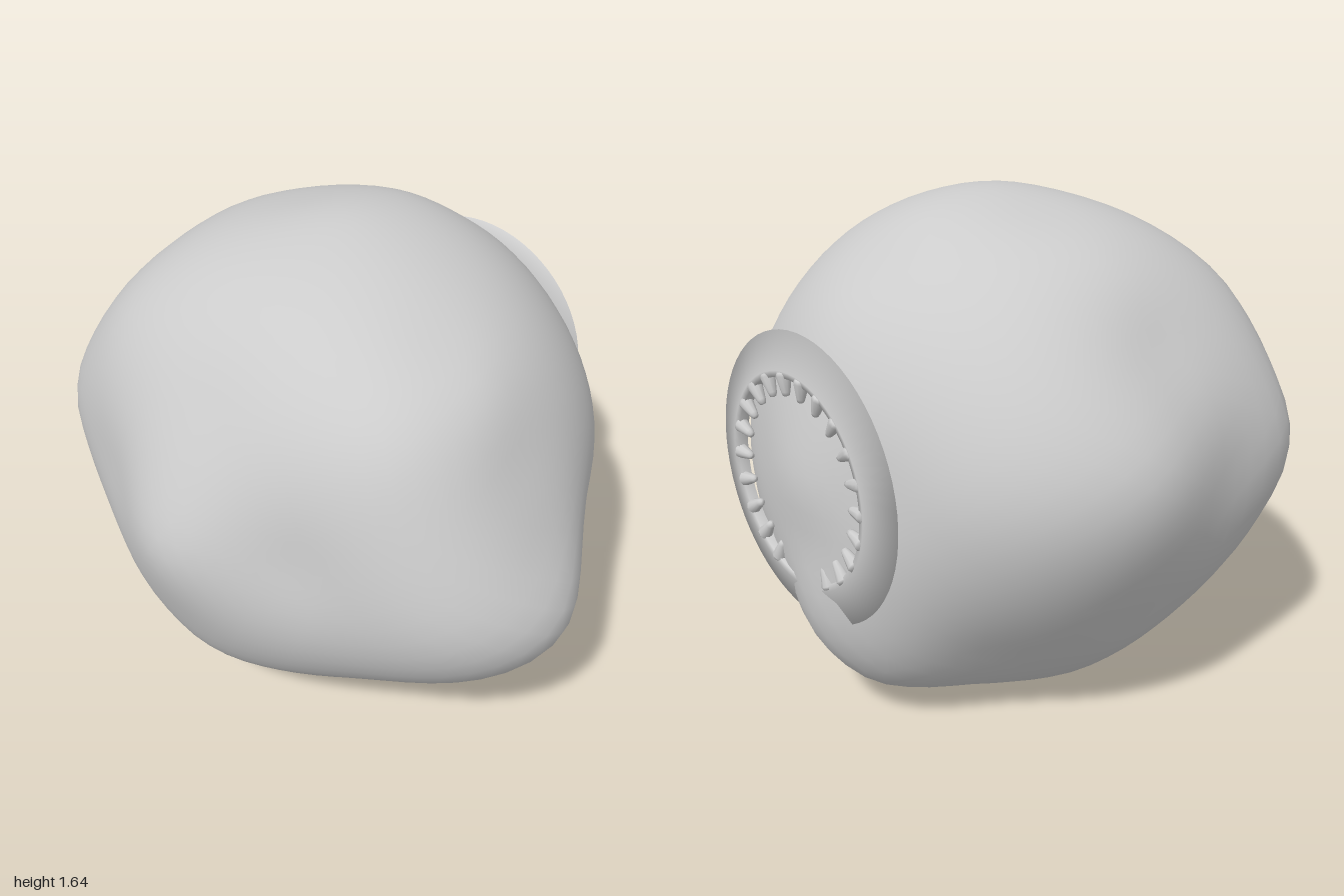
import * as THREE from 'three';
import { mergeVertices } from 'three/addons/utils/BufferGeometryUtils.js';

const material = new THREE.MeshStandardMaterial({ color: 0xcccccc, side: THREE.DoubleSide });
const CENTRE = new THREE.Vector3(0, 0.82, 0);

// Outlines of the boulder in three planes, plus points that fill the octants
const frontOutline = [ // x, y
  [-0.885, 0.83], [-0.81, 0.5], [-0.715, 0.29], [-0.54, 0.17], [-0.35, 0.1], [-0.15, 0.06], [0.13, 0.005],
  [0.45, 0.05], [0.7, 0.15], [0.67, 1.36], [0.53, 1.47], [0.38, 1.575], [0.04, 1.645], [-0.22, 1.595],
  [-0.43, 1.5], [-0.66, 1.25], [-0.79, 1.05],
];
const sideOutline = [ // z, y
  [1, 0.7], [0.97, 0.58], [0.83, 0.4], [0.55, 0.23], [0.3, 0.12], [0.1, 0.045], [-0.45, 0.04], [-0.6, 0.13],
  [-0.73, 0.27], [-0.82, 0.42], [-0.92, 0.63], [-0.995, 0.95], [-0.92, 1.1], [-0.8, 1.25], [-0.68, 1.42],
  [-0.54, 1.52], [-0.32, 1.59], [0.12, 1.62], [0.3, 1.56], [0.5, 1.45], [0.64, 1.37], [0.76, 1.16], [0.92, 0.85],
];
const topOutline = [ // x, z
  [0, 0.92], [0.2, 0.8], [0.47, 0.67], [0.63, 0.55], [0.72, 0.42], [0.805, 0.2], [0.79, -0.38], [0.7, -0.65],
  [0.52, -0.87], [-0.15, -0.945], [-0.46, -0.92], [-0.58, -0.78], [-0.67, -0.57], [-0.75, -0.38], [-0.8, 0.15],
  [-0.71, 0.35], [-0.66, 0.57], [-0.53, 0.82], [-0.37, 0.95],
];
const fillers = [ // x, y, z
  [0.45, 1.3, 0.47], [0.48, 0.35, 0.45], [-0.5, 1.3, 0.55], [-0.48, 0.32, 0.5],
  [-0.5, 1.33, -0.58], [0.5, 1.35, -0.55], [-0.5, 0.3, -0.52], [0.52, 0.3, -0.53],
  [0.875, 0.84, -0.1], [0.84, 1, -0.07], [0.785, 1.17, -0.07], [0.86, 0.62, -0.12],
  [0.87, 0.46, -0.13], [0.85, 0.34, -0.13], [0.81, 0.4, 0.06], [0.82, 0.43, -0.29],
  [0.73, 0.4, 0.25], [0.77, 0.55, -0.43],
];

// Smooth radius over directions that passes through every control point
function fitRadius(points) {
  const dirs = points.map((p) => new THREE.Vector3(...p).sub(CENTRE));
  const kernel = (a, b) => Math.sqrt(a.distanceToSquared(b) + 0.02);
  const mean = 0.88;
  const radii = dirs.map((d) => d.length() - mean);
  dirs.forEach((d) => d.normalize());
  const n = dirs.length;
  const rows = dirs.map((a, i) => [...dirs.map((b, j) => kernel(a, b) - (i === j ? 0.008 : 0)), radii[i]]);
  for (let c = 0; c < n; c++) {
    let best = c;
    for (let r = c + 1; r < n; r++) if (Math.abs(rows[r][c]) > Math.abs(rows[best][c])) best = r;
    [rows[c], rows[best]] = [rows[best], rows[c]];
    for (let r = 0; r < n; r++) {
      if (r === c) continue;
      const f = rows[r][c] / rows[c][c];
      for (let k = c; k <= n; k++) rows[r][k] -= f * rows[c][k];
    }
  }
  const weights = rows.map((row, i) => row[n] / row[i]);
  return (v) => dirs.reduce((sum, d, i) => sum + weights[i] * kernel(v, d), mean);
}

function createBoulder() {
  const sideX = (z) => (z > 0.4 ? -0.2 : z < -0.9 ? 0.25 : 0.08);
  const radiusAt = fitRadius([
    ...frontOutline.map(([x, y]) => [x, y, y < 0.2 ? -0.25 : -0.06]),
    ...sideOutline.map(([z, y]) => [sideX(z), y, z]),
    ...topOutline.map(([x, z]) => [x, z > 0.4 ? 0.7 : 0.88, z]),
    ...fillers,
  ]);
  let geo = new THREE.IcosahedronGeometry(1, 14);
  geo.deleteAttribute('normal');
  geo.deleteAttribute('uv');
  geo = mergeVertices(geo, 1e-4);
  const pos = geo.attributes.position;
  const v = new THREE.Vector3();
  for (let i = 0; i < pos.count; i++) {
    v.fromBufferAttribute(pos, i).normalize();
    v.multiplyScalar(radiusAt(v)).add(CENTRE);
    pos.setXYZ(i, v.x, v.y, v.z);
  }
  geo.computeVertexNormals();
  return geo;
}

const lathe = (profile, sides) =>
  new THREE.LatheGeometry(profile.map(([r, y]) => new THREE.Vector2(r, y)), sides);

export function createModel() {
  const model = new THREE.Group();
  const add = (name, geometry, parent) => {
    const mesh = new THREE.Mesh(geometry, material);
    mesh.name = name;
    parent.add(mesh);
    return mesh;
  };

  add('boulder', createBoulder(), model);

  // Round mouth on the left side; its local +y points out along +x
  const mouth = new THREE.Group();
  mouth.name = 'mouth';
  mouth.position.set(0.825, 0.84, -0.065);
  mouth.rotation.z = -Math.PI / 2;
  model.add(mouth);

  // Thin lip, bevelled towards its outer edge
  add('lip', lathe([[0.325, 0], [0.325, 0.033], [0.345, 0.036], [0.463, 0], [0.325, 0]], 64), mouth);

  // Blunt teeth pointing to the middle
  const toothGeo = lathe([[0, -0.04], [0.01, -0.037], [0.014, -0.025], [0.024, 0.025], [0.019, 0.035], [0, 0.038]], 10);
  const count = 22;
  const up = new THREE.Vector3(0, 1, 0);
  for (let i = 1; i < count - 1; i++) { // leaves a gap at the bottom
    const a = ((i + 0.5) / count) * Math.PI * 2;
    const outward = new THREE.Vector3(Math.cos(a), 0, Math.sin(a));
    const tooth = add('tooth', toothGeo, mouth);
    tooth.position.copy(outward).multiplyScalar(0.305).setY(0.022);
    tooth.quaternion.setFromUnitVectors(up, outward);
  }
  return model;
}
